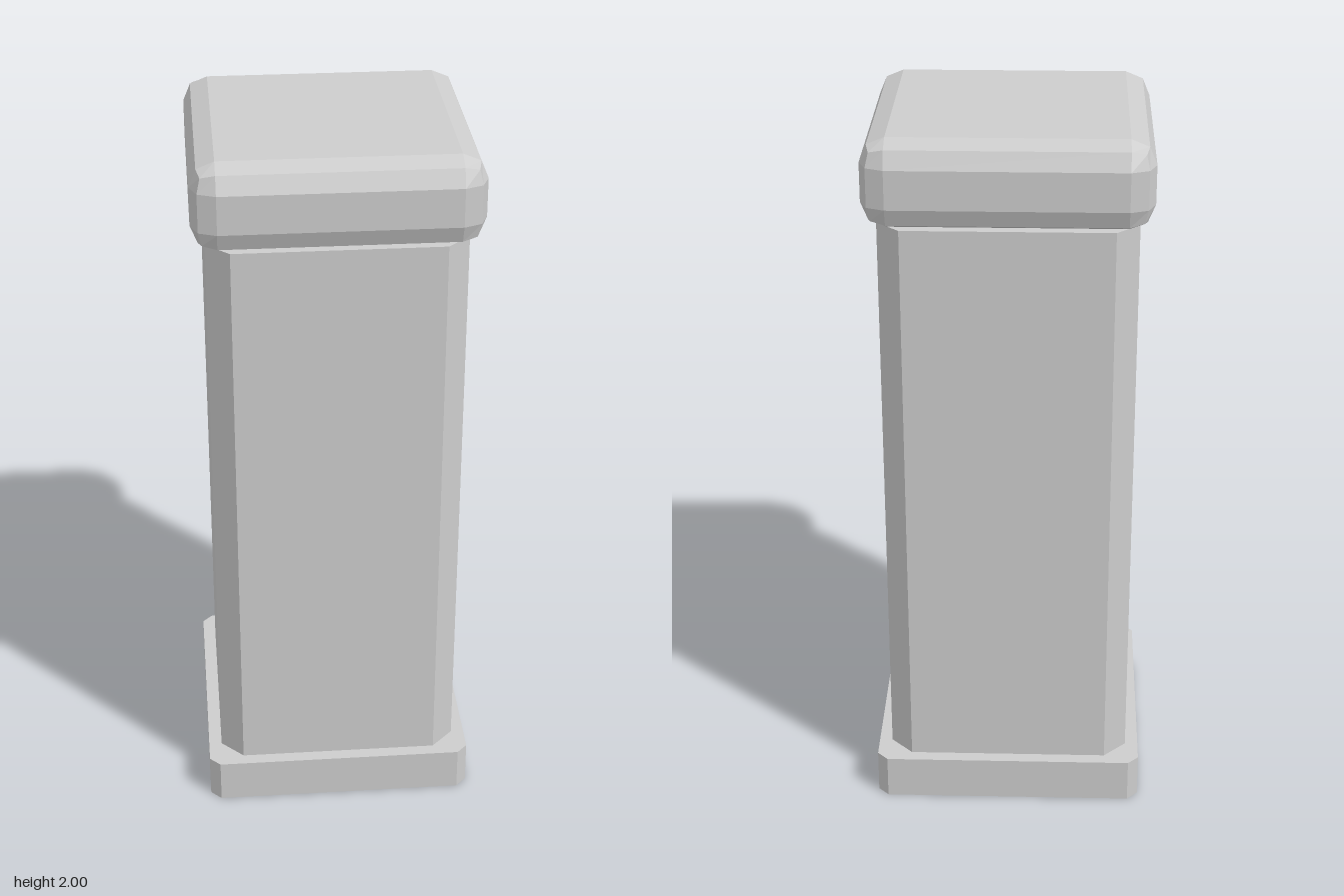
import * as THREE from 'three';
import { RoundedBoxGeometry } from 'three/addons/geometries/RoundedBoxGeometry.js';

const stone = new THREE.MeshStandardMaterial({ color: 0xcccccc, flatShading: true });
stone.name = 'stone';

// Upright square prism with its four vertical edges chamfered
function chamferedPost(name, half, chamfer, y0, y1) {
  const inner = half - chamfer;
  const outline = new THREE.Shape([
    [inner, -half], [half, -inner], [half, inner], [inner, half],
    [-inner, half], [-half, inner], [-half, -inner], [-inner, -half],
  ].map(([x, y]) => new THREE.Vector2(x, y)));
  const geometry = new THREE.ExtrudeGeometry(outline, { depth: y1 - y0, bevelEnabled: false });
  geometry.rotateX(-Math.PI / 2);
  const mesh = new THREE.Mesh(geometry, stone);
  mesh.name = name;
  mesh.position.y = y0;
  return mesh;
}

export function createModel() {
  const pillar = new THREE.Group();
  pillar.name = 'pillar';

  // Plinth and shaft
  pillar.add(chamferedPost('base', 0.383, 0.03, 0, 0.127));
  pillar.add(chamferedPost('shaft', 0.346, 0.063, 0.127, 1.758));

  // Capstone with two-step rounded edges
  const bottom = 1.758, top = 2;
  const cap = new THREE.Mesh(new RoundedBoxGeometry(0.766, top - bottom, 0.766, 1, 0.068), stone);
  cap.name = 'cap';
  cap.position.y = (bottom + top) / 2;
  pillar.add(cap);

  return pillar;
}
